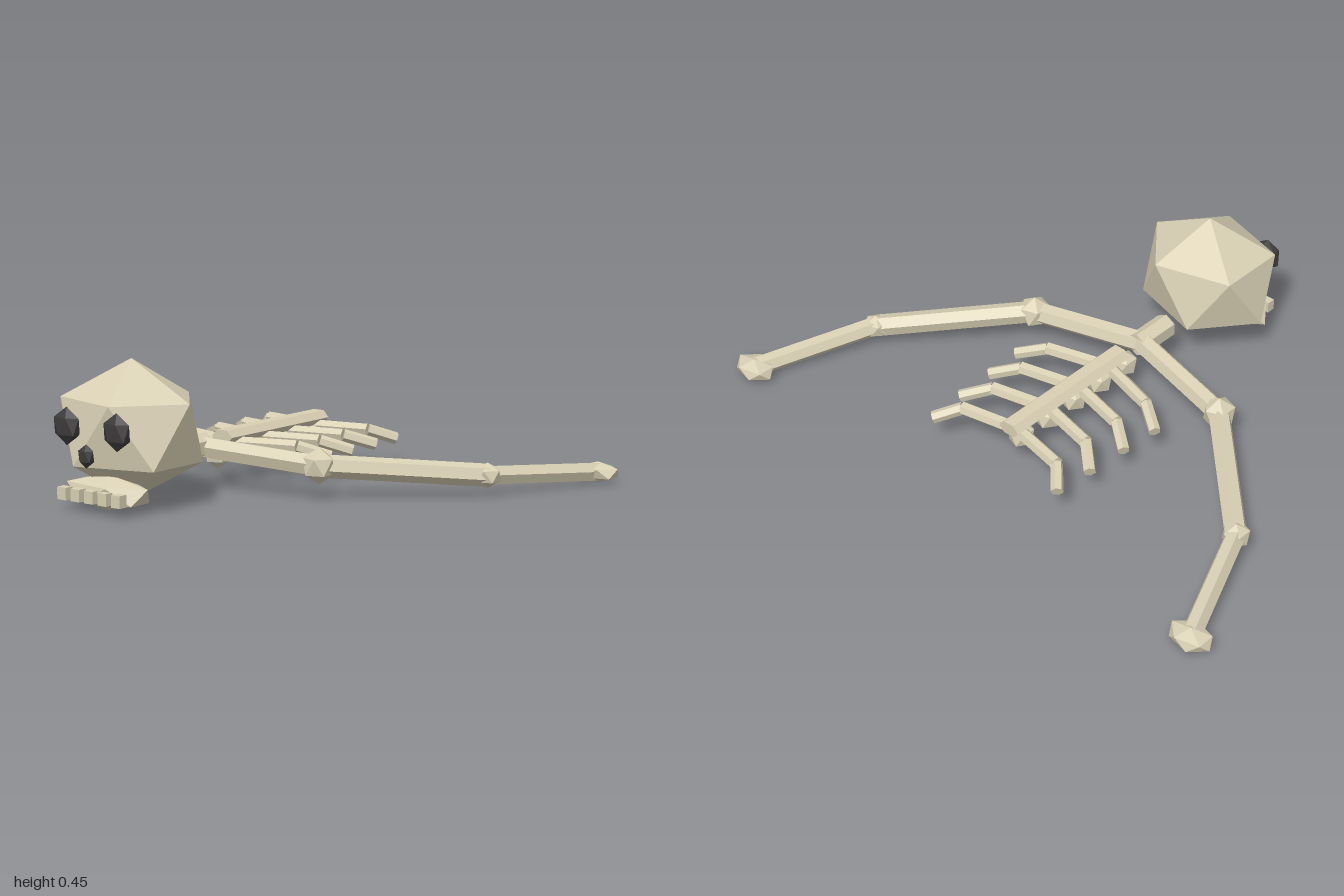
import * as THREE from 'three';

const bone = new THREE.MeshStandardMaterial({ color: 0xd9d0b4, flatShading: true });
bone.name = 'bone';
const socket = new THREE.MeshStandardMaterial({ color: 0x3d3a3a, flatShading: true });
socket.name = 'dark socket';

const UP = new THREE.Vector3(0, 1, 0);

export function createModel() {
  const model = new THREE.Group();
  model.name = 'skeleton';

  const add = (name, geometry, material, parent = model) => {
    const mesh = new THREE.Mesh(geometry, material);
    mesh.name = name;
    parent.add(mesh);
    return mesh;
  };

  // Faceted knob: icosahedron standing on a corner, scaled to its radii
  const knob = (name, pos, radii, material = bone, parent = model) => {
    const g = new THREE.IcosahedronGeometry(1, 0);
    g.rotateZ(-Math.atan(2 / (1 + Math.sqrt(5))));
    g.scale(...radii);
    add(name, g, material, parent).position.set(...pos);
  };

  // Six-sided shaft between two points
  const shaft = (name, from, to, r, parent = model) => {
    const a = new THREE.Vector3(...from), b = new THREE.Vector3(...to);
    const dir = b.clone().sub(a);
    const mesh = add(name, new THREE.CylinderGeometry(r, r, dir.length(), 6), bone, parent);
    mesh.position.copy(a).add(b).multiplyScalar(0.5);
    mesh.quaternion.setFromUnitVectors(UP, dir.normalize());
    return mesh;
  };

  // Head
  const head = new THREE.Group();
  head.name = 'head';
  model.add(head);
  knob('skull', [0, 0.235, 0.495], [0.252, 0.215, 0.22], bone, head);
  knob('jaw', [0, 0.059, 0.607], [0.175, 0.055, 0.079], bone, head);
  for (const s of [-1, 1]) knob('eyeSocket', [s * 0.098, 0.258, 0.677], [0.053, 0.058, 0.028], socket, head);
  knob('noseSocket', [0, 0.18, 0.702], [0.03, 0.036, 0.021], socket, head);
  for (let i = -2; i <= 2; i++) {
    add('tooth', new THREE.BoxGeometry(0.034, 0.038, 0.03), bone, head).position.set(i * 0.053, 0.055, 0.68);
  }

  // Neck
  shaft('neck', [0, 0.137, 0.285], [0, 0.137, 0.14], 0.041);

  // Flat ridge along the back, with vertebrae beneath it
  const ridge = new THREE.CylinderGeometry(0.04, 0.04, 0.515, 6);
  ridge.rotateY(Math.PI / 6);
  ridge.rotateX(Math.PI / 2);
  ridge.scale(1, 0.63, 1);
  add('spine', ridge, bone).position.set(0, 0.152, -0.198);
  for (let i = 0; i < 5; i++) knob('vertebra', [0, 0.1, 0.08 - i * 0.12], [0.045, 0.047, 0.045]);

  // Ribs: root z, bend [x, z], tip [x, z]
  const ribs = [
    [0.0, [0.21, -0.055], [0.298, -0.113]],
    [-0.14, [0.203, -0.185], [0.287, -0.246]],
    [-0.28, [0.198, -0.32], [0.277, -0.39]],
    [-0.42, [0.2, -0.455], [0.265, -0.523]],
  ];

  for (const s of [-1, 1]) {
    const side = s > 0 ? 'left' : 'right';

    for (const [z, bend, tip] of ribs) {
      const mid = [s * bend[0], 0.127, bend[1]];
      shaft(side + 'Rib', [0, 0.127, z + 0.005], mid, 0.022);
      shaft(side + 'RibTip', mid, [s * tip[0], 0.096, tip[1]], 0.02);
    }

    // Arm: collar, upper arm, forearm, with knobs at the joints
    const shoulder = [s * 0.395, 0.107, 0.082];
    const elbow = [s * 0.768, 0.067, -0.285];
    const hand = [s * 0.928, 0.039, -0.68];
    shaft(side + 'Collar', [0, 0.135, 0.165], shoulder, 0.036);
    shaft(side + 'UpperArm', shoulder, elbow, 0.036);
    shaft(side + 'Forearm', elbow, hand, 0.032);
    knob(side + 'Shoulder', shoulder, [0.056, 0.057, 0.056]);
    knob(side + 'Elbow', elbow, [0.047, 0.04, 0.047]);
    knob(side + 'Hand', hand, [0.079, 0.033, 0.056]);
  }

  return model;
}
